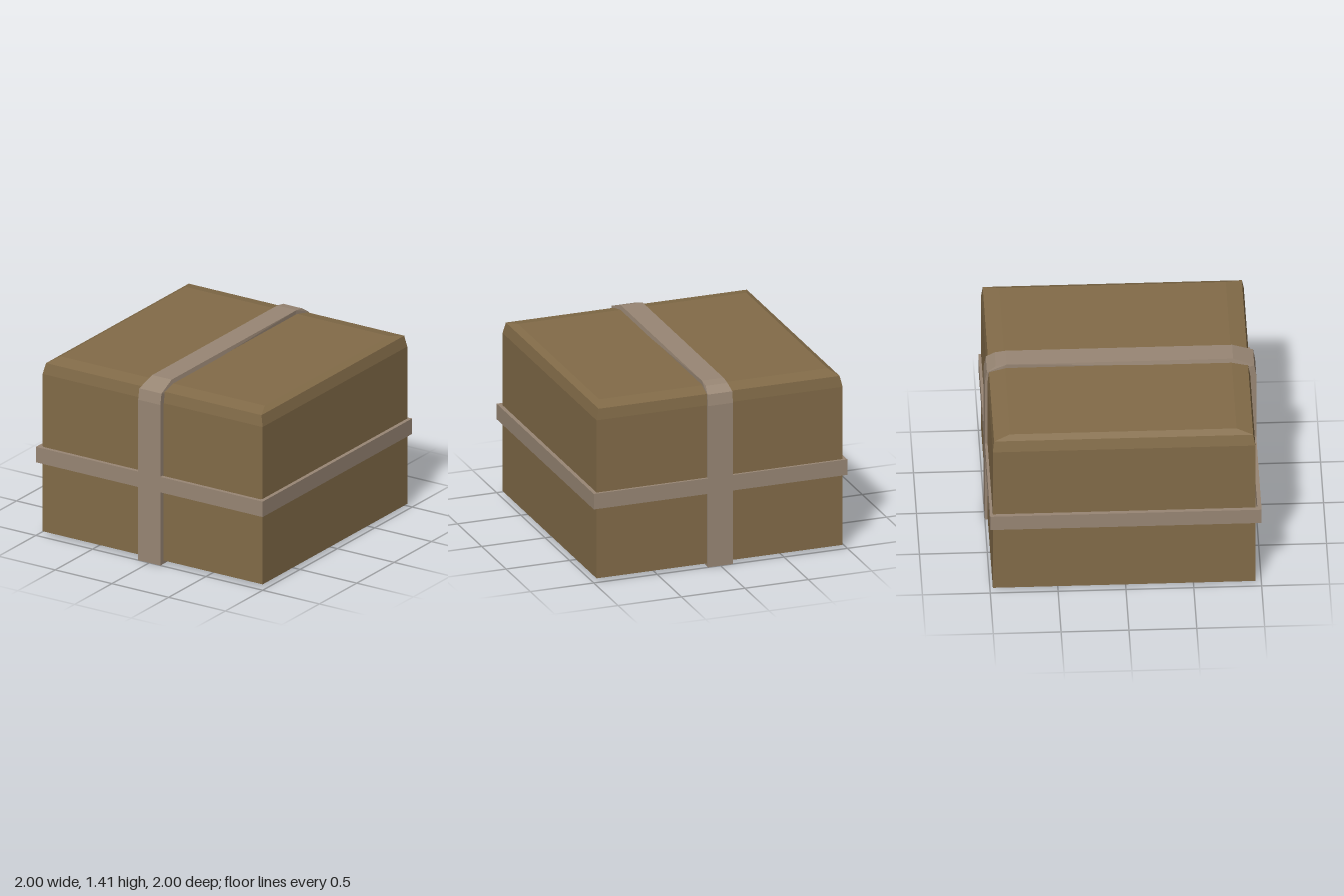
import * as THREE from 'three';
import { ConvexGeometry } from 'three/addons/geometries/ConvexGeometry.js';

const cardboard = new THREE.MeshStandardMaterial({ color: 0x826b48, flatShading: true });
const strapping = new THREE.MeshStandardMaterial({ color: 0x988674, flatShading: true });

// Closed band: outer outline with a hole, extruded and centred on its depth
function band(outer, inner, width) {
  const shape = new THREE.Shape(outer.map(([x, y]) => new THREE.Vector2(x, y)));
  shape.holes.push(new THREE.Path(inner.map(([x, y]) => new THREE.Vector2(x, y))));
  const geometry = new THREE.ExtrudeGeometry(shape, { depth: width, bevelEnabled: false });
  return geometry.translate(0, 0, -width / 2);
}

const square = (x, back, front) => [[-x, back], [x, back], [x, front], [-x, front]];

export function createModel() {
  const model = new THREE.Group();
  model.name = 'strappedParcel';

  const add = (name, geometry, material) => {
    const mesh = new THREE.Mesh(geometry, material);
    mesh.name = name;
    model.add(mesh);
  };

  // Parcel: rectangular rings [y, half width, back z, front z], chamfered at the top
  const rings = [
    [0.025, 0.97, -0.98, 0.955],
    [1.27, 0.97, -0.98, 0.955],
    [1.355, 0.95, -0.97, 0.94],
    [1.38, 0.9, -0.85, 0.82],
  ];
  const corners = rings.flatMap(([y, x, back, front]) =>
    square(x, back, front).map(([px, pz]) => new THREE.Vector3(px, y, pz)));
  add('parcel', new ConvexGeometry(corners), cardboard);

  // Horizontal strap around the four sides
  const around = band(square(1, -1, 1), square(0.96, -0.94, 0.97), 0.122);
  around.rotateX(Math.PI / 2).translate(0, 0.64, 0);
  add('horizontalStrap', around, strapping);

  // Vertical strap over the top and under the base, drawn as [z, y]
  const outer = [
    [-1, 0], [1, 0], [1, 1.27], [0.985, 1.355], [0.83, 1.412],
    [-0.84, 1.412], [-0.92, 1.4], [-0.985, 1.355], [-1, 1.27],
  ];
  const inner = [
    [-0.96, 0.04], [0.93, 0.04], [0.93, 1.26], [0.91, 1.33], [0.8, 1.36],
    [-0.82, 1.36], [-0.94, 1.33], [-0.96, 1.26],
  ];
  const over = band(outer, inner, 0.196).rotateY(-Math.PI / 2);

  // Narrow the strap where it crosses the top
  const p = over.attributes.position;
  for (let i = 0; i < p.count; i++) {
    if (p.getY(i) > 1.357) p.setX(i, p.getX(i) * 0.87);
  }
  over.computeVertexNormals();
  add('verticalStrap', over, strapping);

  return model;
}
